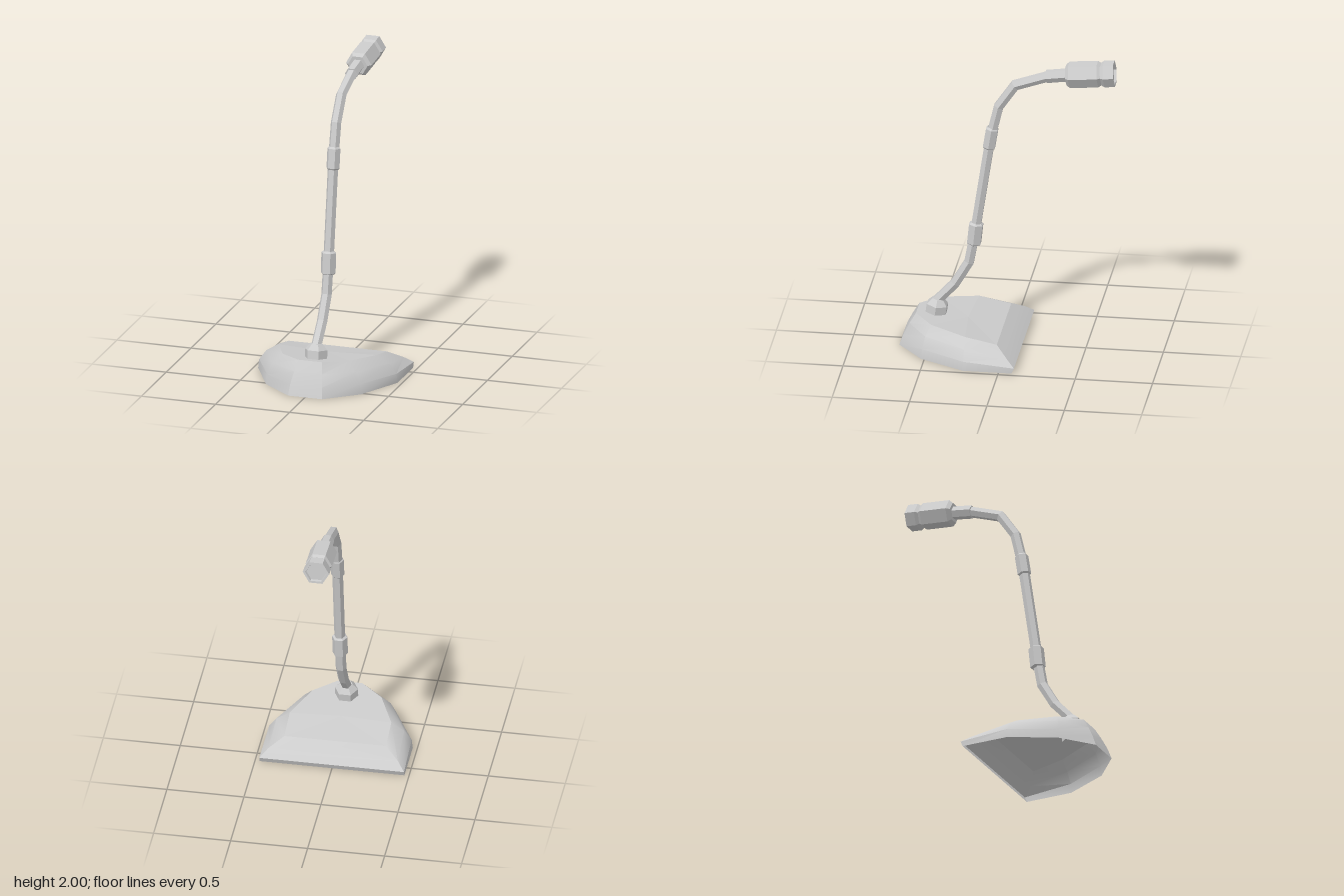
import * as THREE from 'three';
import { toCreasedNormals } from 'three/addons/utils/BufferGeometryUtils.js';

const flat = new THREE.MeshStandardMaterial({ color: 0xcccccc, flatShading: true, side: THREE.DoubleSide });
const smooth = new THREE.MeshStandardMaterial({ color: 0xcccccc, side: THREE.DoubleSide });

// Skin a list of closed rings (arrays of Vector3, equal length)
function loft(rings) {
  const n = rings[0].length, index = [];
  for (let j = 0; j < rings.length - 1; j++) {
    for (let i = 0; i < n; i++) {
      const k = (i + 1) % n;
      const a = j * n + i, b = j * n + k, c = b + n, d = a + n;
      index.push(a, d, b, b, d, c);
    }
  }
  const geometry = new THREE.BufferGeometry().setFromPoints(rings.flat());
  geometry.setIndex(index);
  geometry.computeVertexNormals();
  return geometry;
}

// Mirror half an outline (from +x back to +x front) across x
function mirrorRing(half) {
  const right = half.map(([x, y, z]) => new THREE.Vector3(x, y, z));
  const left = half.map(([x, y, z]) => new THREE.Vector3(-x, y, z)).reverse();
  return [...right, ...left];
}

// Hexagonal turned part along a line in the yz plane; profile is [radius, distance] pairs
function hexPart(name, start, end, profile) {
  const points = profile.map(([r, d]) => new THREE.Vector2(r, d));
  const mesh = new THREE.Mesh(new THREE.LatheGeometry(points, 6, Math.PI / 2), flat);
  const from = new THREE.Vector3(0, ...start), to = new THREE.Vector3(0, ...end);
  mesh.position.copy(from);
  mesh.quaternion.setFromUnitVectors(new THREE.Vector3(0, 1, 0), to.sub(from).normalize());
  mesh.name = name;
  return mesh;
}

// Hexagonal tube with mitred bends along [y, z] points
function hexTube(path, radius) {
  const pts = path.map(([y, z]) => new THREE.Vector3(0, y, z));
  const rings = pts.map((p, i) => {
    const before = p.clone().sub(pts[Math.max(i - 1, 0)]).normalize();
    const after = pts[Math.min(i + 1, pts.length - 1)].clone().sub(p).normalize();
    const t = before.clone().add(after).normalize();
    const mitre = 1 / t.dot(i ? before : after);
    return Array.from({ length: 6 }, (_, k) => {
      const a = k * Math.PI / 3, s = Math.sin(a) * radius * mitre;
      return new THREE.Vector3(Math.cos(a) * radius, p.y - t.z * s, p.z + t.y * s);
    });
  });
  return loft(rings);
}

export function createModel() {
  const model = new THREE.Group();
  model.name = 'deskMicrophone';

  // Hollow base: rounded skirt, open underneath, and a sloping top plate
  const skirt = [
    [[0.47, 0, -0.085], [0.47, 0, 0.23], [0.32, 0, 0.52], [0.115, 0, 0.69]],
    [[0.47, 0.035, -0.1], [0.463, 0.06, 0.23], [0.313, 0.065, 0.515], [0.108, 0.07, 0.665]],
    [[0.42, 0.08, -0.045], [0.415, 0.125, 0.23], [0.28, 0.14, 0.5], [0.095, 0.145, 0.627]],
    [[0.33, 0.133, 0.03], [0.33, 0.175, 0.235], [0.225, 0.2, 0.47], [0.08, 0.213, 0.587]],
  ].map(mirrorRing);
  const base = new THREE.Mesh(toCreasedNormals(loft(skirt), 0.56), smooth);
  base.name = 'baseSkirt';
  const top = skirt[3];
  const centre = top.map(() => new THREE.Vector3(0, 0.172, 0.26));
  const plate = new THREE.Mesh(loft([top, centre]), flat);
  plate.name = 'baseTop';
  model.add(base, plate);

  // Socket passing through the top plate
  model.add(hexPart('socket', [0.12, 0.478], [0.25, 0.46],
    [[0, 0], [0.075, 0], [0.075, 0.133], [0.04, 0.172], [0, 0.172]]));

  // Bent neck
  const path = [[0.25, 0.485], [0.403, 0.345], [0.557, 0.255], [0.76, 0.218],
    [1.432, 0.117], [1.655, 0.064], [1.81, -0.042], [1.883, -0.25], [1.902, -0.38]];
  const neck = new THREE.Mesh(hexTube(path, 0.035), flat);
  neck.name = 'neck';
  model.add(neck);

  // Collars on the neck
  const collar = (r, length) => [[0.033, 0], [r, 0.012], [r, length - 0.012], [0.033, length]];
  model.add(
    hexPart('lowerCollar', [0.68, 0.224], [0.836, 0.208], collar(0.05, 0.157)),
    hexPart('upperCollar', [1.357, 0.128], [1.507, 0.104], collar(0.044, 0.152)),
    hexPart('headCollar', [1.883, -0.245], [1.902, -0.38],
      [[0, 0], [0.043, 0], [0.043, 0.137], [0, 0.137]]));

  // Microphone head with a groove and a recessed end
  model.add(hexPart('microphoneHead', [1.902, -0.373], [1.929, -0.687],
    [[0, 0], [0.066, 0], [0.086, 0.022], [0.086, 0.207], [0.073, 0.227], [0.086, 0.247],
      [0.086, 0.314], [0.07, 0.314], [0.066, 0.298], [0, 0.298]]));

  return model;
}
